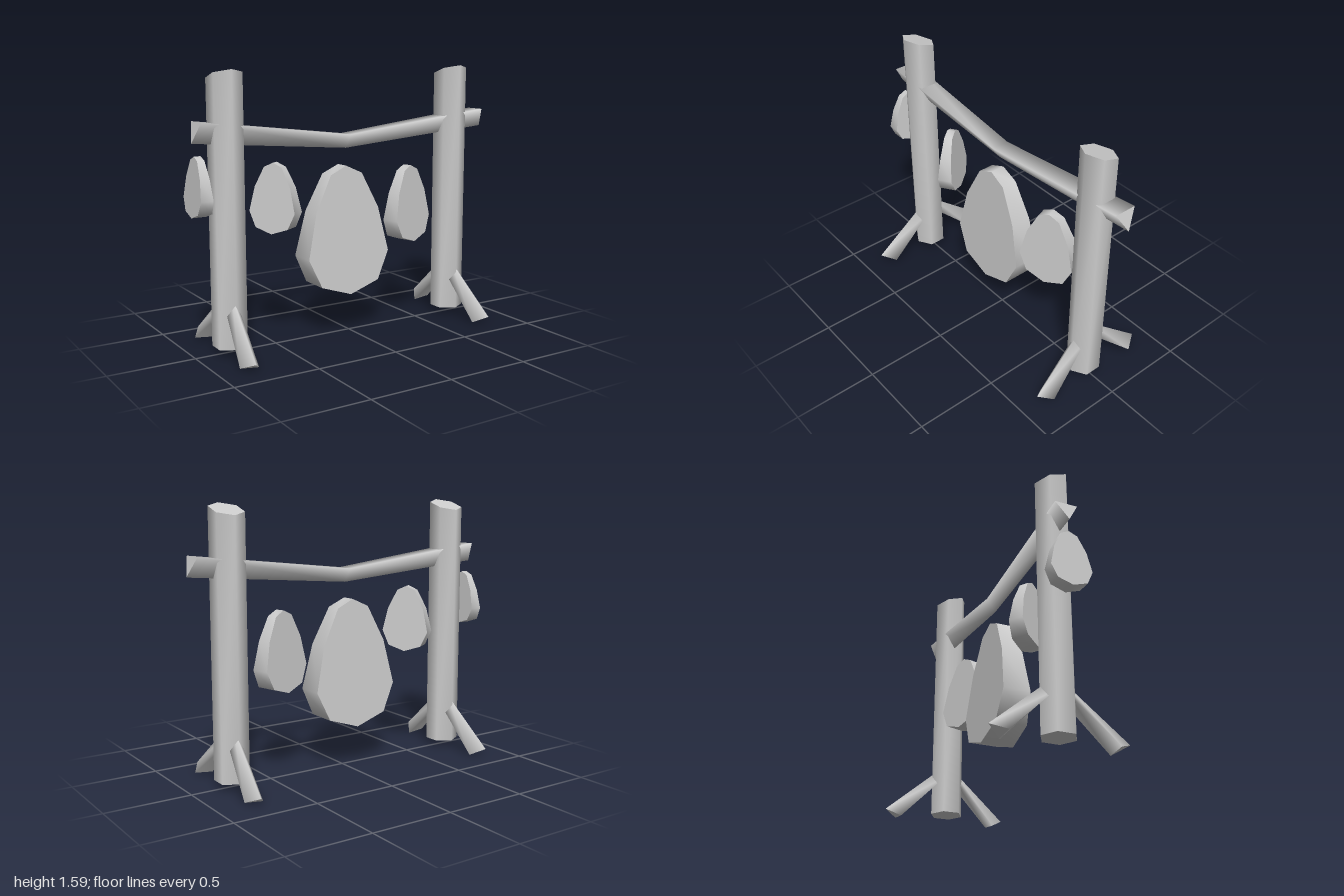
import * as THREE from 'three';

const stone = new THREE.MeshStandardMaterial({ color: 0xcccccc });
stone.name = 'pale grey';

// Skin a list of matching rings: smooth sides, flat end caps.
// Rings run counter-clockwise when looking back from the last one.
function loft(name, rings) {
  const n = rings[0].length, last = rings.length - 1;
  const points = rings.flat();
  const index = [];
  for (let k = 0; k < last; k++) {
    for (let i = 0; i < n; i++) {
      const j = (i + 1) % n, a = k * n + i, b = k * n + j;
      index.push(a, b, b + n, a, b + n, a + n);
    }
  }
  const start = points.length, end = start + n;
  points.push(...rings[0], ...rings[last]);
  for (let i = 1; i < n - 1; i++) {
    index.push(start, start + i + 1, start + i, end, end + i, end + i + 1);
  }
  const geometry = new THREE.BufferGeometry();
  geometry.setAttribute('position', new THREE.Float32BufferAttribute(points.flat(), 3));
  geometry.setIndex(index);
  geometry.computeVertexNormals();
  const mesh = new THREE.Mesh(geometry, stone);
  mesh.name = name;
  return mesh;
}

// Six-sided post with a top cut at a slant, higher at the front
function post(name, cx) {
  const ring = (height) => Array.from({ length: 6 }, (_, i) => {
    const a = (i * Math.PI) / 3;
    const z = 0.1 * Math.cos(a);
    return [cx + 0.1 * Math.sin(a), height(z), z];
  });
  return loft(name, [ring(() => 0.04), ring((z) => 1.553 + 0.32 * z)]);
}

// Three-sided strut with its ridge on top, splayed out to the ground
function strut(name, cx, sx, sz) {
  const place = (ring) => {
    const out = ring.map(([x, y, z]) => [cx + sx * x, y, sz * z]);
    return sx * sz < 0 ? out.reverse() : out;
  };
  return loft(name, [
    place([[0.04, 0.275, 0.03], [0, 0.35, 0.03], [-0.04, 0.275, 0.03]]),
    place([[0.085, 0.013, 0.305], [0.03, 0.048, 0.388], [-0.028, 0, 0.305]]),
  ]);
}

// Egg-shaped slab, thicker towards the bottom
const half = [[0, -0.382], [0.195, -0.318], [0.275, -0.147], [0.214, 0.12], [0.107, 0.333], [0, 0.382]];
const egg = [...half, ...half.slice(1, -1).reverse().map(([x, y]) => [-x, y])];
function slab(name, x, y, scale, turn) {
  const face = (side) => egg.map(([px, py]) => [px, py, side * (0.0725 - 0.072 * py)]);
  const mesh = loft(name, [face(-1), face(1)]);
  mesh.position.set(x, y, 0);
  mesh.scale.setScalar(scale);
  mesh.rotation.y = turn;
  return mesh;
}

export function createModel() {
  const model = new THREE.Group();
  model.name = 'hangingStoneFrame';

  // Posts and their struts
  for (const [side, cx, sx] of [['right', -0.79, -1], ['left', 0.75, 1]]) {
    model.add(post(side + 'Post', cx));
    model.add(strut(side + 'FrontStrut', cx, sx, 1));
    model.add(strut(side + 'BackStrut', cx, sx, -1));
  }

  // Sagging three-sided crossbeam
  const section = (xTop, yTop, xLow, yLow, w) =>
    [[xTop, yTop, w], [xLow, yLow, 0], [xTop, yTop, -w]];
  model.add(loft('crossbeam', [
    section(-0.957, 1.307, -0.988, 1.192, 0.066),
    section(-0.02, 1.195, -0.02, 1.112, 0.054),
    section(0.957, 1.307, 0.993, 1.197, 0.066),
  ]));

  // Hanging slabs
  model.add(slab('largeSlab', -0.045, 0.631, 1, 0));
  model.add(slab('leftSlab', 0.427, 0.743, 0.62, 0.32));
  model.add(slab('rightSlab', -0.49, 0.857, 0.53, -0.99));
  model.add(slab('outerSlab', -0.956, 0.957, 0.436, Math.PI / 2));

  return model;
}
